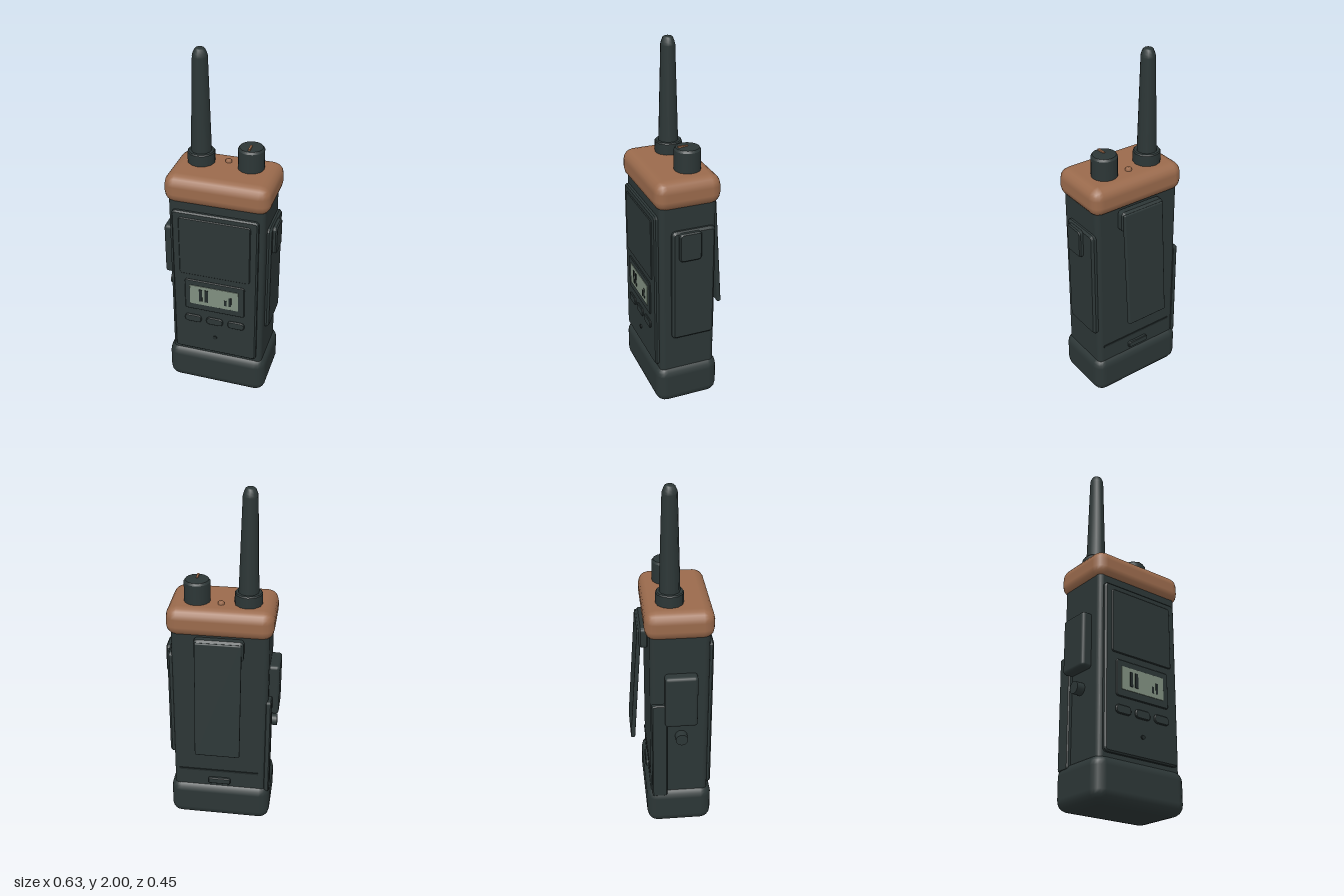
import * as THREE from 'three';
import { RoundedBoxGeometry } from 'three/addons/geometries/RoundedBoxGeometry.js';

const mat = (name, color) => {
  const m = new THREE.MeshStandardMaterial({ color });
  m.name = name;
  return m;
};

export function createModel() {
  const casing = mat('dark casing', 0x2c3636);
  const brown = mat('brown trim', 0x9a6a4c);
  const glass = mat('display grey green', 0x7f8e7f);
  const ink = mat('display ink', 0x222a2a);
  const model = new THREE.Group();
  model.name = 'handheldRadio';

  const add = (name, geometry, material, x, y, z) => {
    const mesh = new THREE.Mesh(geometry, material);
    mesh.name = name;
    mesh.position.set(x, y, z);
    model.add(mesh);
    return mesh;
  };

  // Rounded block given by its extents
  const block = (name, material, [x0, x1], [y0, y1], [z0, z1], r, seg = 2) =>
    add(name, new RoundedBoxGeometry(x1 - x0, y1 - y0, z1 - z0, seg, r), material,
      (x0 + x1) / 2, (y0 + y1) / 2, (z0 + z1) / 2);

  // Bevelled plate with rounded corners, growing outward from its back face
  const plateGeometry = (w, h, t, r, b) => {
    const a = w / 2 - b, c = h / 2 - b;
    const s = new THREE.Shape();
    s.moveTo(-a + r, -c);
    s.lineTo(a - r, -c);
    s.quadraticCurveTo(a, -c, a, -c + r);
    s.lineTo(a, c - r);
    s.quadraticCurveTo(a, c, a - r, c);
    s.lineTo(-a + r, c);
    s.quadraticCurveTo(-a, c, -a, c - r);
    s.lineTo(-a, -c + r);
    s.quadraticCurveTo(-a, -c, -a + r, -c);
    const g = new THREE.ExtrudeGeometry(s, {
      depth: t - 2 * b, bevelEnabled: true, bevelThickness: b, bevelSize: b,
      bevelSegments: 1, curveSegments: 4,
    });
    return g.translate(0, 0, b);
  };
  const plate = (name, material, w, h, t, r, b, x, y, z, turn = 0) => {
    const mesh = add(name, plateGeometry(w, h, t, r, b), material, x, y, z);
    mesh.rotation.y = turn;
    return mesh;
  };

  const lathe = (name, material, points, sides, x, z) =>
    add(name, new THREE.LatheGeometry(points.map(([r, y]) => new THREE.Vector2(r, y)), sides),
      material, x, 0, z);

  // Main housing with top cap and bottom boot
  block('body', casing, [-0.262, 0.27], [0.1, 1.3], [-0.128, 0.192], 0.03);
  block('topCap', brown, [-0.285, 0.295], [1.207, 1.37], [-0.153, 0.215], 0.06);
  block('bottomBoot', casing, [-0.287, 0.293], [0, 0.238], [-0.15, 0.215], 0.06);

  // Front panel and speaker cover
  plate('frontPanel', casing, 0.48, 0.925, 0.03, 0.015, 0.008, 0.002, 0.71, 0.183);
  plate('speakerCover', casing, 0.4, 0.36, 0.012, 0.012, 0.004, 0.002, 0.96, 0.207);

  // Display with bar readouts
  plate('displayBezel', casing, 0.345, 0.2, 0.014, 0.01, 0.004, 0.002, 0.645, 0.206);
  plate('displayScreen', glass, 0.28, 0.125, 0.004, 0.002, 0.0005, 0, 0.648, 0.2185);
  for (const [x, w, h] of [[-0.077, 0.019, 0.08], [-0.043, 0.019, 0.08],
    [0.067, 0.014, 0.035], [0.094, 0.014, 0.058]]) {
    add('displayBar', new THREE.BoxGeometry(w, h, 0.003), ink, x, 0.61 + h / 2, 0.2235);
  }

  // Front buttons and microphone hole
  for (const x of [-0.125, 0.001, 0.127])
    plate('frontButton', casing, 0.098, 0.048, 0.014, 0.018, 0.004, x, 0.477, 0.208);
  const mic = add('microphone', new THREE.CylinderGeometry(0.012, 0.012, 0.01, 12), ink, 0.002, 0.36, 0.214);
  mic.rotation.x = Math.PI / 2;

  // Accessory cover and pad on the left side
  plate('accessoryCover', casing, 0.245, 0.66, 0.04, 0.015, 0.012, 0.253, 0.76, 0.008, Math.PI / 2);
  plate('accessoryPad', casing, 0.125, 0.165, 0.03, 0.015, 0.007, 0.285, 1.002, 0.034, Math.PI / 2);

  // Talk key, round side button and rail on the right side
  block('talkKey', casing, [-0.318, -0.25], [0.7, 1.01], [-0.052, 0.125], 0.018);
  const sideButton = add('sideButton', new THREE.CylinderGeometry(0.034, 0.034, 0.06, 16), casing, -0.278, 0.607, 0.04);
  sideButton.rotation.z = Math.PI / 2;
  plate('sideRail', casing, 0.085, 0.62, 0.033, 0.01, 0.006, -0.25, 0.51, -0.08, -Math.PI / 2);

  // Belt clip, hinged near the top of the back
  plate('clipMount', casing, 0.27, 0.12, 0.055, 0.012, 0.012, 0.005, 1.152, -0.122, Math.PI);
  const clip = block('beltClip', casing, [-0.12, 0.132], [0.505, 1.2], [-0.207, -0.183], 0.008);
  clip.rotation.x = 0.066;

  // Battery seam and latch on the back
  add('batterySeam', new THREE.BoxGeometry(0.46, 0.012, 0.012), ink, 0.01, 0.33, -0.127);
  plate('batteryLatch', casing, 0.13, 0.038, 0.022, 0.01, 0.004, 0.005, 0.264, -0.122, Math.PI);

  // Antenna with collar
  lathe('antennaCollar', casing, [[0.075, 1.35], [0.075, 1.35], [0.075, 1.43], [0.075, 1.43],
    [0.07, 1.436], [0.07, 1.436], [0, 1.436]], 12, -0.137, -0.012);
  lathe('antenna', casing, [[0.056, 1.42], [0.04, 1.955], [0.04, 1.96], [0.036, 1.975],
    [0.027, 1.995], [0.02, 2], [0, 2]], 10, -0.137, -0.012);

  // Volume knob with pointer mark
  lathe('volumeKnob', casing, [[0.071, 1.35], [0.071, 1.35], [0.071, 1.48], [0.071, 1.48],
    [0.063, 1.492], [0.063, 1.492], [0, 1.497]], 20, 0.138, -0.012);
  add('knobMark', new THREE.BoxGeometry(0.011, 0.009, 0.052), brown, 0.138, 1.4975, 0.014);

  // Status light
  lathe('statusLight', brown, [[0.018, 1.36], [0.018, 1.378], [0.012, 1.385], [0, 1.388]], 12, 0.006, -0.043);

  return model;
}
